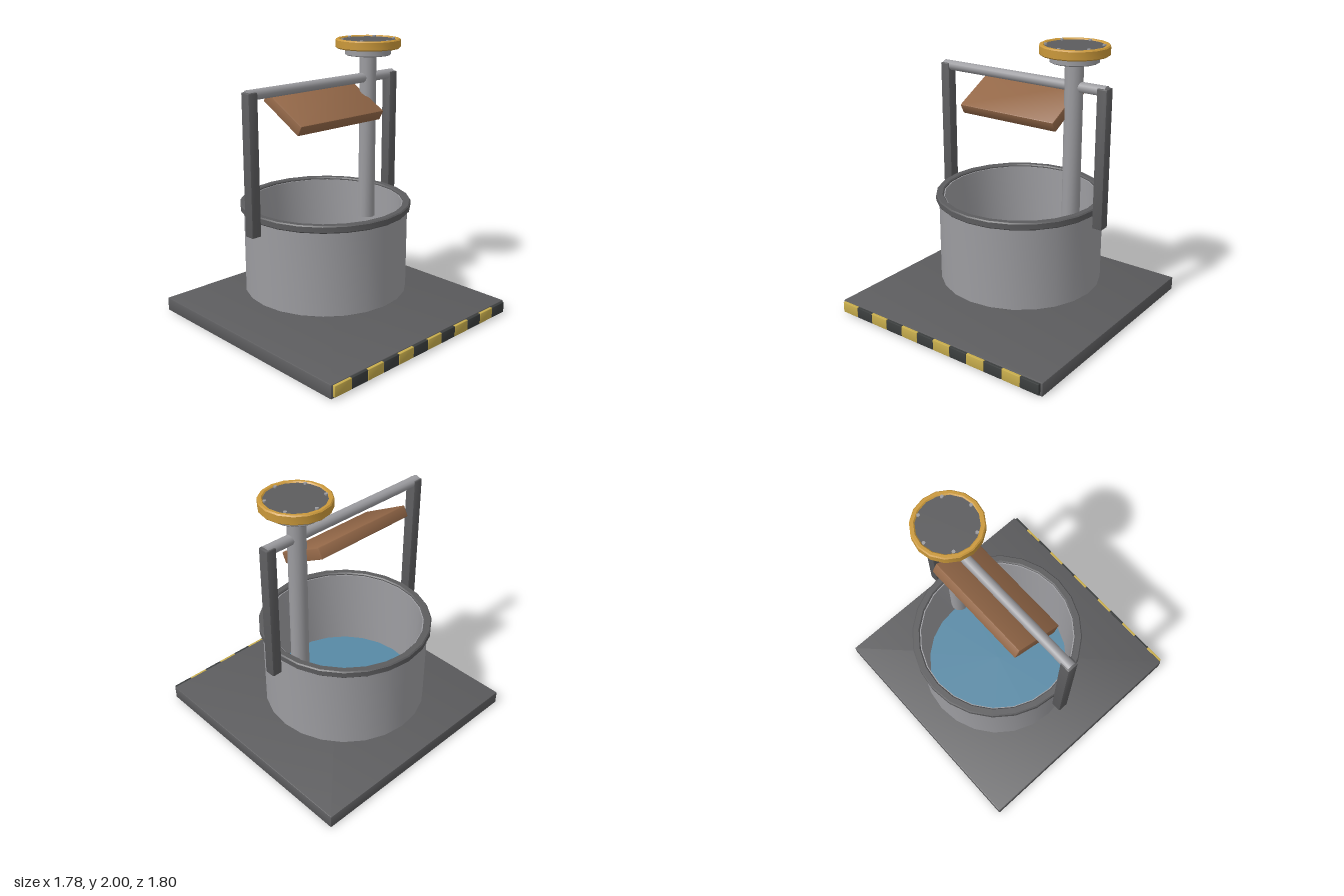
import * as THREE from 'three';
import { toCreasedNormals } from 'three/addons/utils/BufferGeometryUtils.js';
import { RoundedBoxGeometry } from 'three/addons/geometries/RoundedBoxGeometry.js';

const paint = (name, color) => Object.assign(new THREE.MeshStandardMaterial({ color }), { name });

export function createModel() {
  const model = new THREE.Group();
  model.name = 'waterTank';
  const darkSteel = paint('dark steel', 0x5c5c5e);
  const lightSteel = paint('light steel', 0x9c9ca0);
  const brass = paint('brass', 0xca983a);
  const wood = paint('wood', 0x946848);
  const water = paint('water blue', 0x5789a5);
  const yellow = paint('warning yellow', 0xc8ad4c);
  const black = paint('warning black', 0x3b3e3e);

  const add = (name, geometry, material, x, y, z) => {
    const mesh = new THREE.Mesh(geometry, material);
    mesh.name = name;
    mesh.position.set(x, y, z);
    model.add(mesh);
    return mesh;
  };
  const box = (w, h, d, bevel = 0.006) => toCreasedNormals(new RoundedBoxGeometry(w, h, d, 1, bevel), 0.5);
  // Profiles run up the outside and down the inside
  const lathe = (profile, sides) =>
    toCreasedNormals(new THREE.LatheGeometry(profile.map(([r, y]) => new THREE.Vector2(r, y)), sides), 0.6);
  // Square-section ring with small bevels
  const ring = (inner, outer, low, high, b, sides) => lathe([
    [inner + b, low], [outer - b, low], [outer, low + b], [outer, high - b],
    [outer - b, high], [inner + b, high], [inner, high - b], [inner, low + b], [inner + b, low],
  ], sides);

  const Z = -0.11; // axis of tank, frame and post
  const POST_X = 0.435;

  // Base plate with a striped front edge
  add('basePlate', box(1.78, 0.1, 1.78), darkSteel, 0, 0.05, -0.01);
  const stripeWidth = 1.75 / 12;
  for (let i = 0; i < 12; i++) {
    add(i % 2 ? 'blackStripe' : 'yellowStripe', box(stripeWidth, 0.08, 0.022, 0.004), i % 2 ? black : yellow,
      -0.875 + (i + 0.5) * stripeWidth, 0.055, 0.889);
  }

  // Open tank, rim and water
  add('tank', lathe([
    [0, 0.2], [0.596, 0.2], [0.6, 0.204], [0.6, 0.85], [0.56, 0.85], [0.543, 0.23], [0, 0.23],
  ], 24), lightSteel, 0, 0, Z);
  add('tankRim', ring(0.568, 0.623, 0.813, 0.867, 0.008, 24), darkSteel, 0, 0, Z);
  const surface = add('waterSurface', new THREE.CircleGeometry(0.544, 24), water, 0, 0.26, Z);
  surface.rotation.x = -Math.PI / 2;

  // Hanging frame: two uprights and a crossbar
  for (const side of [-1, 1]) {
    add(side < 0 ? 'rightUpright' : 'leftUpright', box(0.077, 0.995, 0.08, 0.008), darkSteel, side * 0.675, 1.2375, Z);
  }
  const bar = add('crossbar', toCreasedNormals(new THREE.CylinderGeometry(0.037, 0.037, 1.39, 12), 0.6),
    lightSteel, -0.003, 1.715, Z);
  bar.rotation.z = Math.PI / 2;

  // Tilted board below the crossbar
  const board = add('tiltedBoard', box(0.8, 0.08, 0.405), wood, 0, 1.555, Z);
  board.rotation.x = 0.5;

  // Post with flange and a round bolted head
  add('post', toCreasedNormals(new THREE.CylinderGeometry(0.064, 0.064, 1.25, 12), 0.6), lightSteel, POST_X, 1.265, Z);
  add('flange', lathe([
    [0, 1.88], [0.164, 1.88], [0.17, 1.886], [0.17, 1.935], [0, 1.935],
  ], 16), lightSteel, POST_X, 0, Z);
  add('headDisc', toCreasedNormals(new THREE.CylinderGeometry(0.212, 0.212, 0.052, 16), 0.6), darkSteel, POST_X, 1.964, Z);
  add('headRing', ring(0.205, 0.24, 1.93, 1.998, 0.008, 16), brass, POST_X, 0, Z);
  for (let i = 0; i < 6; i++) {
    const a = i * Math.PI / 3;
    add('bolt', new THREE.CylinderGeometry(0.012, 0.012, 0.074, 8), lightSteel,
      POST_X + 0.193 * Math.sin(a), 1.963, Z + 0.193 * Math.cos(a));
  }
  return model;
}
